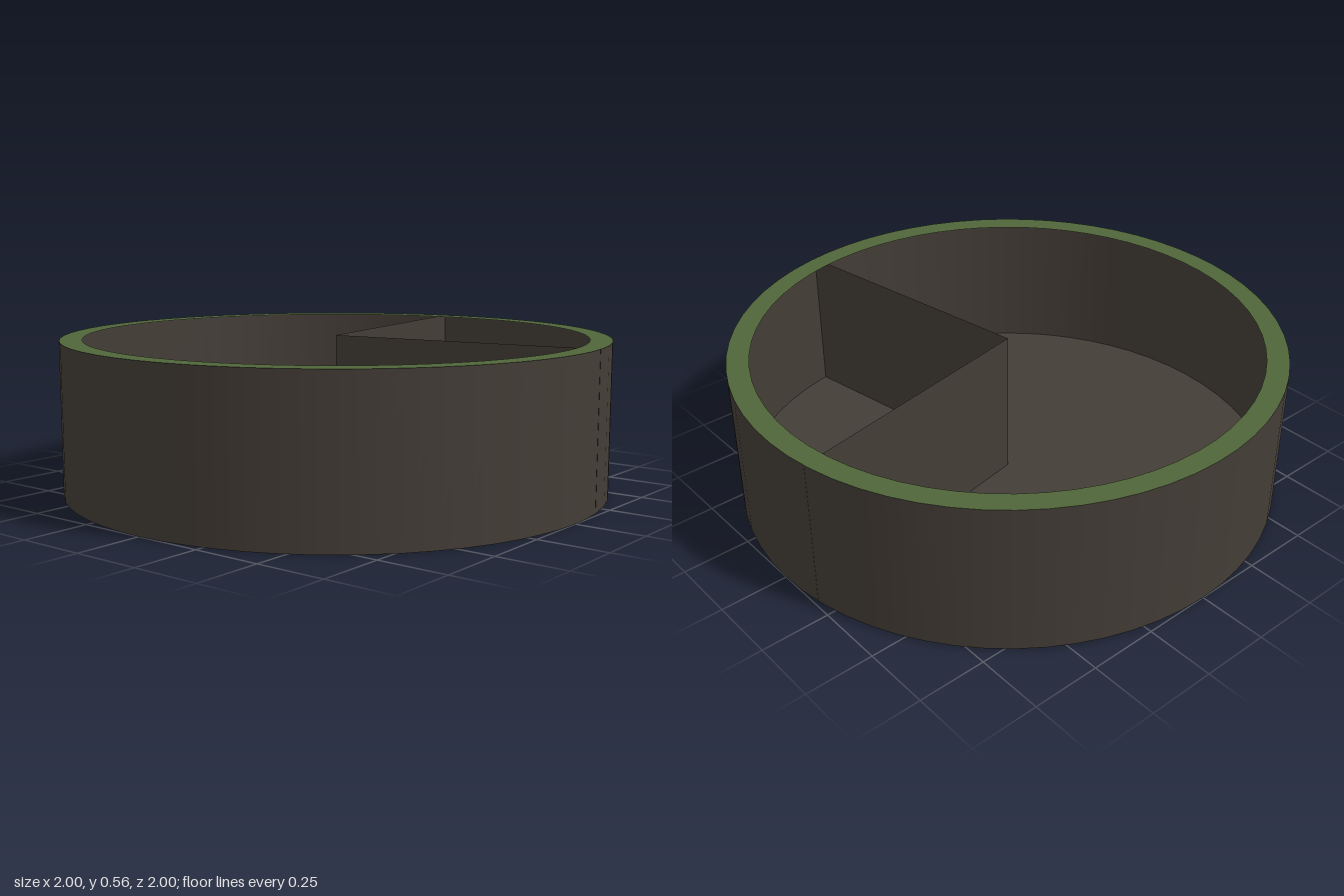
import * as THREE from 'three';

const HEIGHT = 0.56, RADIUS = 1, LIP = 0.92, SIDES = 64;

export function createModel() {
  const group = new THREE.Group();
  const brown = new THREE.MeshStandardMaterial({ color: 0x443d37, side: THREE.DoubleSide });
  brown.name = 'dark brown';
  const green = new THREE.MeshStandardMaterial({ color: 0x50663a, side: THREE.DoubleSide });
  green.name = 'moss green';

  const add = (name, geometry, material, y = 0) => {
    const mesh = new THREE.Mesh(geometry, material);
    mesh.name = name;
    mesh.position.y = y;
    group.add(mesh);
    return mesh;
  };

  // Thin round shell, open at the top
  add('outerWall', new THREE.CylinderGeometry(RADIUS, RADIUS, HEIGHT, SIDES, 1, true), brown, HEIGHT / 2);
  // Floor disc, front side facing down
  add('floor', new THREE.CircleGeometry(RADIUS, SIDES).rotateX(Math.PI / 2), brown);
  // Flat lip overhanging the cavity
  add('rim', new THREE.RingGeometry(LIP, RADIUS, SIDES).rotateX(-Math.PI / 2), green, HEIGHT);

  // Two sheet dividers from the centre to the wall, at right angles
  for (const [name, degrees] of [['sideDivider', 10], ['frontDivider', -80]]) {
    const sheet = new THREE.PlaneGeometry(RADIUS, HEIGHT).translate(RADIUS / 2, HEIGHT / 2, 0);
    add(name, sheet, brown).rotation.y = THREE.MathUtils.degToRad(degrees);
  }
  return group;
}
